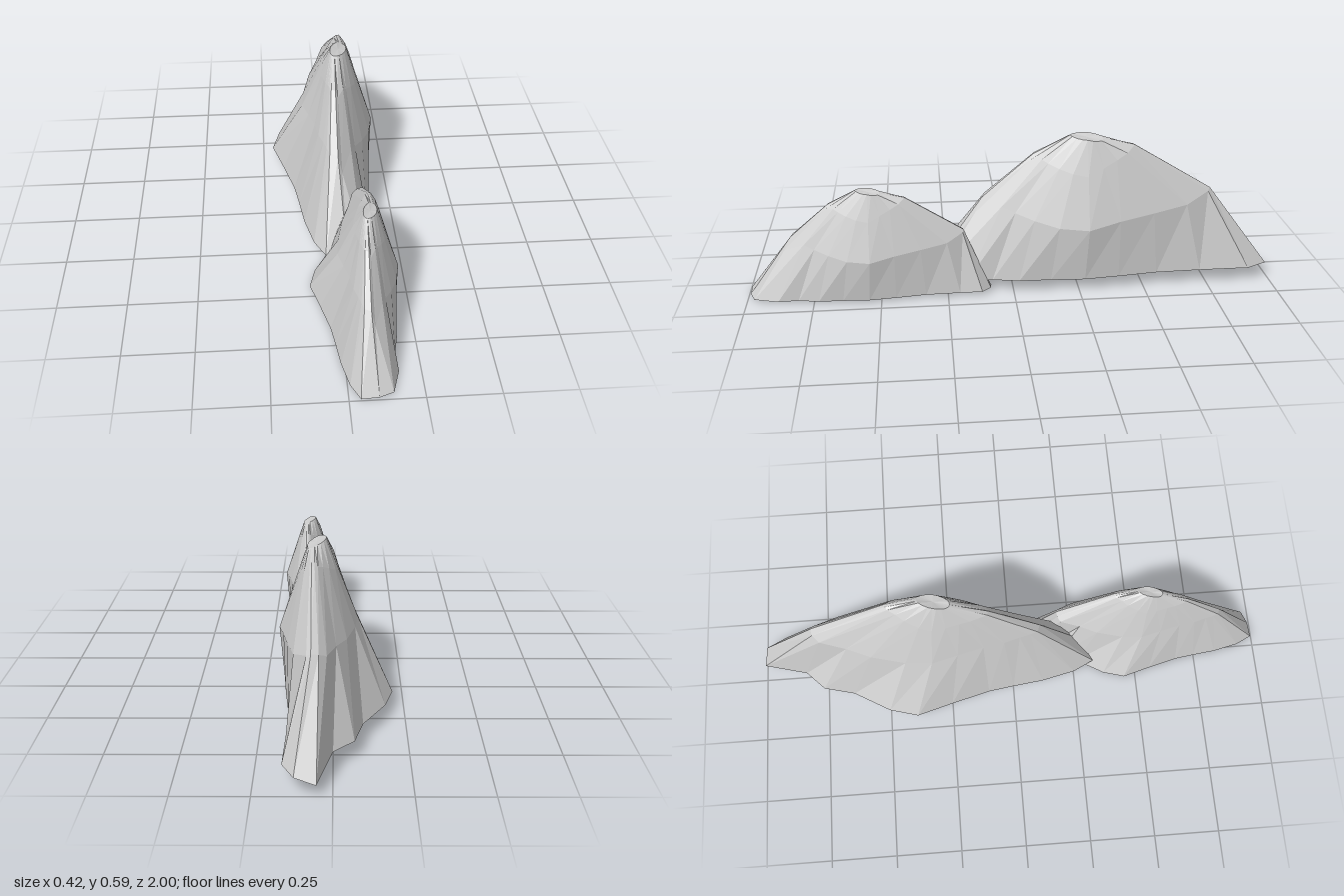
import * as THREE from 'three';

// One rib per row, going round from the front by +x: foot x, z, then shoulder x, y, z
const RIBS = [
  [-0.03, 0.33, 0.0, 0.345, 0.1], [0.05, 0.325, 0.03, 0.34, 0.11],
  [0.115, 0.3, 0.045, 0.28, 0.14], [0.15, 0.18, 0.085, 0.32, 0.04],
  [0.145, 0.08, 0.105, 0.3, -0.01], [0.165, -0.02, 0.14, 0.28, -0.08],
  [0.17, -0.14, 0.175, 0.26, -0.17], [0.18, -0.27, 0.195, 0.255, -0.28],
  [0.17, -0.4, 0.175, 0.28, -0.4], [0.155, -0.55, 0.155, 0.3, -0.53],
  [0.155, -0.72, 0.13, 0.32, -0.66], [0.16, -0.91, 0.085, 0.355, -0.75],
  [0.12, -0.99, 0.07, 0.365, -0.76], [0.05, -1, 0.045, 0.36, -0.755],
  [0.0, -0.83, 0.02, 0.345, -0.73], [-0.07, -0.76, -0.01, 0.335, -0.63],
  [-0.1, -0.64, -0.045, 0.32, -0.54], [-0.18, -0.5, -0.075, 0.31, -0.41],
  [-0.21, -0.39, -0.085, 0.31, -0.31], [-0.17, -0.25, -0.065, 0.325, -0.21],
  [-0.13, -0.1, -0.045, 0.34, -0.11], [-0.115, 0.0, -0.035, 0.345, -0.03],
  [-0.1, 0.12, -0.02, 0.35, 0.03], [-0.07, 0.25, -0.01, 0.35, 0.07],
];
const SUMMIT = new THREE.Vector3(0.058, 0.578, -0.28);

// Foot, shoulder, brow and rim of one rib
function ribPoints([fx, fz, sx, sy, sz]) {
  const footY = fz < -0.995 ? 0.039 : 0.045 + 0.015 * Math.max(0, -fz);
  const foot = new THREE.Vector3(fx, footY, fz);
  const shoulder = new THREE.Vector3(sx, sy, sz);
  // The rim is a small slanted oval that dips towards +x
  const angle = Math.atan2((sx - SUMMIT.x) * 3, sz - SUMMIT.z);
  const rim = SUMMIT.clone();
  rim.x += 0.03 * Math.sin(angle) - 0.015 * Math.cos(angle);
  rim.z += 0.06 * Math.cos(angle);
  rim.y = 0.588 - 0.4 * Math.max(0, rim.x - 0.055) - 0.1 * Math.abs(rim.z - SUMMIT.z);
  // The brow swells along the ridge and sits nearer the rim at the back
  const brow = shoulder.clone().lerp(rim, 0.58 + 0.14 * Math.max(0, -Math.cos(angle)));
  brow.y += 0.005 + 0.06 * Math.abs(sz - SUMMIT.z);
  return [foot, shoulder, brow, rim];
}

// Open-bottomed shell: rings of ribs closed by a shallow hollow at the summit
function mountainGeometry(place) {
  const ribs = RIBS.map(ribPoints);
  const count = ribs.length;
  const rings = ribs[0].length;
  const positions = [];
  const index = [];
  for (let r = 0; r < rings; r++) {
    for (const rib of ribs) positions.push(...place(rib[r]).toArray());
  }
  const top = count * rings;
  positions.push(...place(SUMMIT).toArray());
  for (let i = 0; i < count; i++) {
    const j = (i + 1) % count;
    for (let r = 0; r < rings - 1; r++) {
      const a = r * count + i, b = r * count + j;
      index.push(a, b, b + count, a, b + count, a + count);
    }
    index.push(top - count + i, top - count + j, top);
  }
  const geometry = new THREE.BufferGeometry();
  geometry.setAttribute('position', new THREE.Float32BufferAttribute(positions, 3));
  geometry.setIndex(index);
  geometry.computeVertexNormals();
  return geometry;
}

// Smaller mountain: scaled and moved forward, its back end squeezed short
function placeSmall(p) {
  const k = 0.755;
  const z = (p.z + 0.28) * k + 0.537;
  return new THREE.Vector3(
    (p.x - 0.035) * k + 0.088,
    (p.y - 0.045) * k + 0.005,
    z < 0.2 ? 0.2 - (0.2 - z) * 0.57 : z,
  );
}

export function createModel() {
  const group = new THREE.Group();
  group.name = 'mountainRange';
  const material = new THREE.MeshStandardMaterial({
    color: 0xcccccc, flatShading: true, side: THREE.DoubleSide,
  });

  // Tall mountain at the back
  const large = new THREE.Mesh(mountainGeometry((p) => p), material);
  large.name = 'largeMountain';

  // Small mountain in front
  const small = new THREE.Mesh(mountainGeometry(placeSmall), material);
  small.name = 'smallMountain';

  group.add(large, small);
  return group;
}
